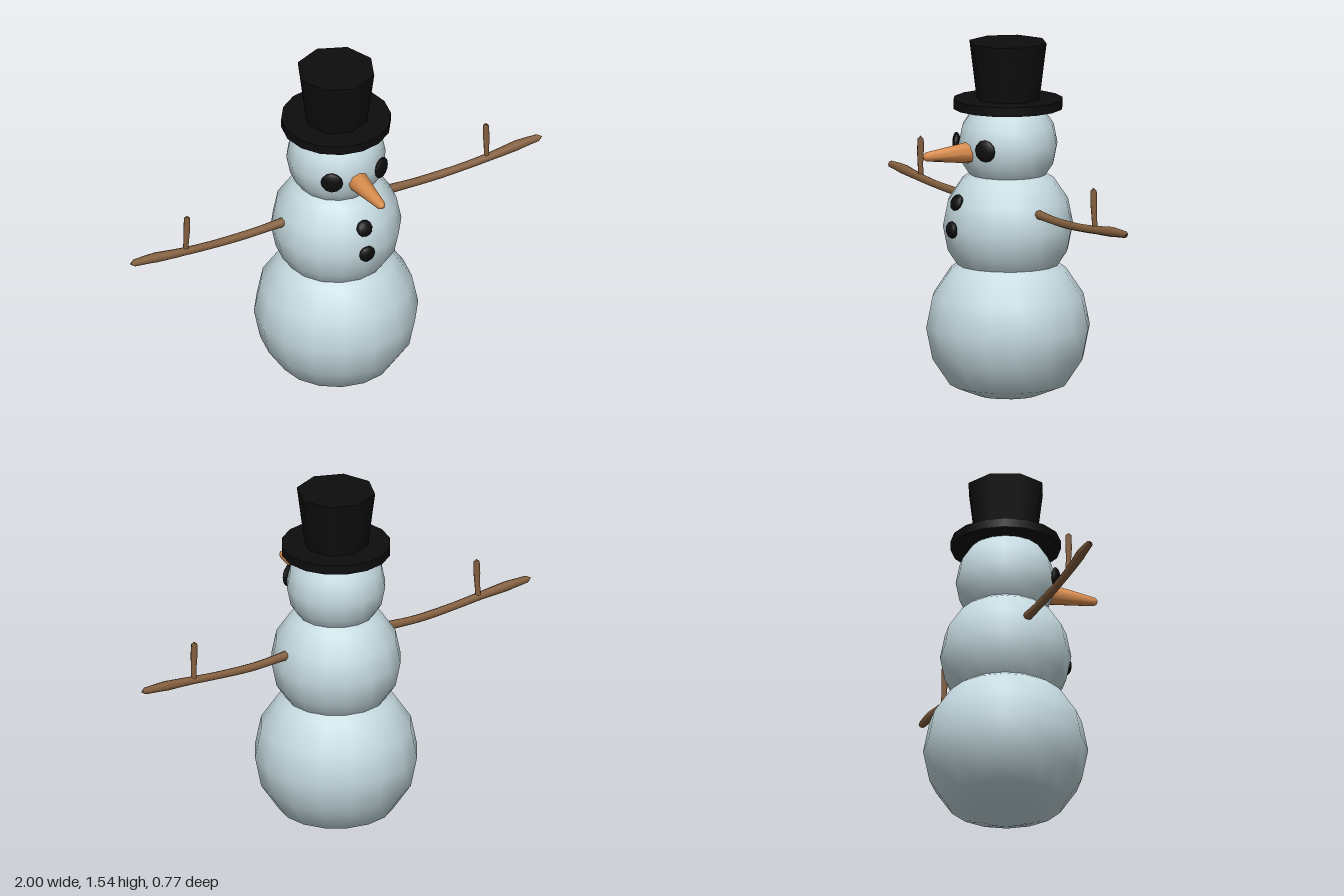
import * as THREE from 'three';

const mat = (name, color) => {
  const m = new THREE.MeshStandardMaterial({ color });
  m.name = name;
  return m;
};

const Z = -0.034; // the body axis sits slightly behind the middle

export function createModel() {
  const group = new THREE.Group();
  const snow = mat('snow', 0xc5dae0);
  const coal = mat('coal', 0x0d0d0d);
  const carrot = mat('carrot', 0xdd8f4f);
  const wood = mat('wood', 0x85603f);

  const add = (name, geometry, material, x, y, z) => {
    const mesh = new THREE.Mesh(geometry, material);
    mesh.name = name;
    mesh.position.set(x, y, z);
    group.add(mesh);
    return mesh;
  };

  // Snowballs, the lowest one settled flatter underneath
  const base = new THREE.SphereGeometry(0.352, 16, 8);
  const p = base.attributes.position;
  for (let i = 0; i < p.count; i++) {
    const y = p.getY(i);
    if (y < -0.25) p.setY(i, -0.25 + (y + 0.25) * 0.58);
  }
  base.computeBoundingBox();
  add('lowerBody', base, snow, 0, -base.boundingBox.min.y, Z);
  add('middleBody', new THREE.SphereGeometry(0.28, 16, 8), snow, 0, 0.75, Z);
  add('head', new THREE.SphereGeometry(0.213, 16, 8), snow, 0, 1.1, Z);

  // Top hat
  add('hatBrim', new THREE.CylinderGeometry(0.235, 0.235, 0.04, 16), coal, 0, 1.275, Z);
  add('hatCrown', new THREE.CylinderGeometry(0.17, 0.138, 0.25, 8), coal, 0, 1.415, Z);

  // Flattened coal lumps facing away from the ball they sit on
  const lump = (name, r, depth, x, y, z, cy) => {
    const geo = new THREE.SphereGeometry(1, 12, 8).rotateX(Math.PI / 2).scale(r, r, depth);
    const mesh = add(name, geo, coal, x, y, z);
    mesh.lookAt(2 * x, 2 * y - cy, 2 * z - Z);
  };
  lump('leftEye', 0.048, 0.018, 0.12, 1.1, 0.15, 1.1);
  lump('rightEye', 0.048, 0.018, -0.12, 1.1, 0.15, 1.1);
  lump('upperButton', 0.037, 0.02, 0, 0.867, 0.22, 0.75);
  lump('lowerButton', 0.037, 0.02, 0, 0.75, 0.244, 0.75);

  // Carrot nose with a blunt tip
  const nosePoints = [[0, 0], [0.052, 0], [0.02, 0.245], [0.012, 0.258], [0, 0.262]]
    .map(([r, y]) => new THREE.Vector2(r, y));
  add('nose', new THREE.LatheGeometry(nosePoints, 8).rotateX(Math.PI / 2), carrot, 0, 1.078, 0.123);

  // Tube along a path whose thickness follows a list of radii, closed at both ends
  const branch = (points, radii, segments) => {
    const curve = new THREE.CatmullRomCurve3(points.map((q) => new THREE.Vector3(...q)));
    const sides = 8;
    const geo = new THREE.TubeGeometry(curve, segments, 1, sides);
    const pos = geo.attributes.position;
    const v = new THREE.Vector3();
    for (let i = 0; i <= segments; i++) {
      const c = curve.getPointAt(i / segments);
      const t = (i / segments) * (radii.length - 1);
      const k = Math.min(Math.floor(t), radii.length - 2);
      let r = THREE.MathUtils.lerp(radii[k], radii[k + 1], t - k);
      if (i === 0 || i === segments) r = 0;
      for (let j = 0; j <= sides; j++) {
        const n = i * (sides + 1) + j;
        v.fromBufferAttribute(pos, n).sub(c).multiplyScalar(r).add(c);
        pos.setXYZ(n, v.x, v.y, v.z);
      }
    }
    return geo;
  };

  // Stick arms, each with one upright twig
  for (const [side, s] of [['left', 1], ['right', -1]]) {
    const arm = [[0.23, 0.832, Z], [0.42, 0.823, -0.036], [0.6, 0.829, -0.032],
      [0.76, 0.842, -0.03], [0.9, 0.854, -0.034], [1, 0.858, -0.034]];
    const twig = [[0.73, 0.835, -0.034], [0.727, 0.92, -0.03], [0.724, 1.02, -0.03]];
    const flip = (pts) => pts.map(([x, y, z]) => [s * x, y, z]);
    add(side + 'Arm', branch(flip(arm), [0.021, 0.018, 0.018, 0.017, 0.018, 0.022, 0.014], 36), wood, 0, 0, 0);
    add(side + 'Twig', branch(flip(twig), [0.012, 0.012, 0.015, 0.013], 14), wood, 0, 0, 0);
  }

  return group;
}
